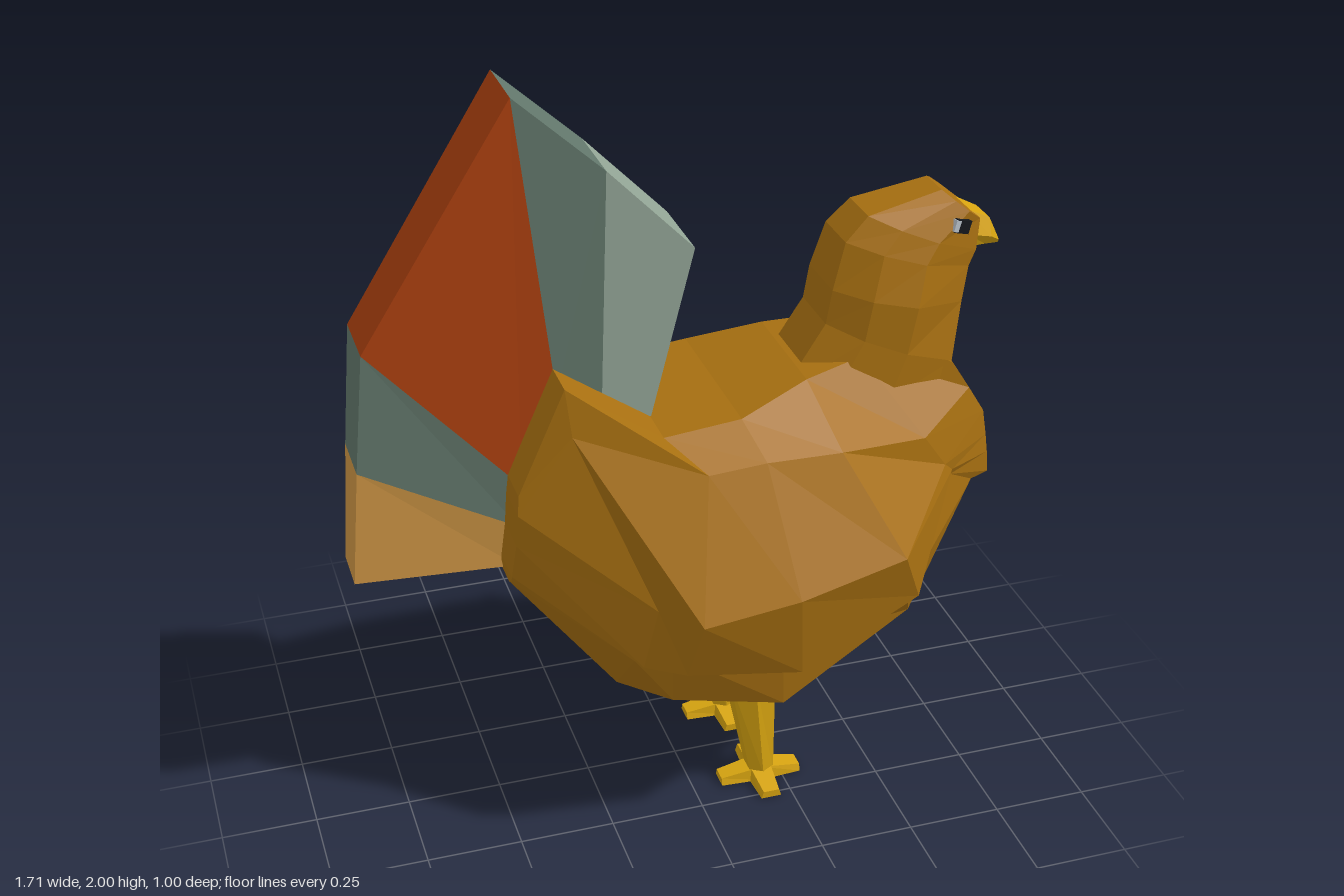
import * as THREE from 'three';

const material = (color) => new THREE.MeshStandardMaterial({ color, flatShading: true, side: THREE.DoubleSide });
const brown = material(0xa87011), red = material(0xac400f), green = material(0x62776b);
const paleGreen = material(0x93a596), tan = material(0xcf9645), yellow = material(0xd6a310);
const dark = material(0x15181c), light = material(0xb8c0c8);

// Skins half cross-sections of [x, y, z >= 0], mirrored across z = 0, and closes both ends.
function loft(name, sections, mat) {
  const rings = sections.map((half) => {
    const mirrored = half.filter((p) => p[2] > 0).reverse().map(([x, y, z]) => [x, y, -z]);
    return [...half, ...mirrored].map((p) => new THREE.Vector3(...p));
  });
  const n = rings[0].length;
  const tris = [];
  const quad = (a, b, c, d) => tris.push([a, b, c], [a, c, d]);
  for (let s = 0; s < rings.length - 1; s++) {
    for (let i = 0; i < n; i++) {
      const j = (i + 1) % n;
      quad(rings[s][i], rings[s][j], rings[s + 1][j], rings[s + 1][i]);
    }
  }
  const first = rings[0], last = rings[rings.length - 1];
  for (let i = 0; i < Math.floor((n - 1) / 2); i++) {
    quad(first[n - 1 - i], first[n - 2 - i], first[i + 1], first[i]);
    quad(last[i], last[i + 1], last[n - 2 - i], last[n - 1 - i]);
  }
  // Turn every face outwards
  const cross = new THREE.Vector3();
  const volume = tris.reduce((v, [a, b, c]) => v + a.dot(cross.crossVectors(b, c)), 0);
  if (volume < 0) tris.forEach((t) => t.reverse());
  const geometry = new THREE.BufferGeometry().setFromPoints(tris.flat());
  geometry.computeVertexNormals();
  const mesh = new THREE.Mesh(geometry, mat);
  mesh.name = name;
  return mesh;
}

// Each section runs: back edge, shoulder, wing ridge, wing lower edge, wing underside, belly, keel
const rearBody = [
  [[-0.46, 1.02, 0.2], [-0.465, 0.97, 0.21], [-0.47, 0.88, 0.2], [-0.48, 0.78, 0.18],
    [-0.48, 0.76, 0.17], [-0.475, 0.73, 0.12], [-0.47, 0.71, 0]],
  [[-0.34, 1.3, 0.21], [-0.33, 1.18, 0.235], [-0.16, 0.74, 0.38], [-0.19, 0.56, 0.35],
    [-0.2, 0.55, 0.3], [-0.22, 0.42, 0.2], [-0.22, 0.38, 0]],
  [[-0.1, 1.14, 0.23], [-0.02, 1.08, 0.34], [-0.08, 0.75, 0.5], [-0.1, 0.57, 0.43],
    [-0.1, 0.55, 0.31], [-0.08, 0.36, 0.24], [-0.08, 0.335, 0]],
];
const frontBody = [
  [[0.1, 1.16, 0.23], [0.13, 1.09, 0.34], [0.17, 0.78, 0.5], [0.2, 0.525, 0.44],
    [0.2, 0.51, 0.3], [0.22, 0.3, 0.26], [0.22, 0.26, 0]],
  [[0.29, 1.21, 0.17], [0.33, 1.08, 0.33], [0.47, 0.81, 0.44], [0.54, 0.645, 0.37],
    [0.54, 0.63, 0.31], [0.58, 0.5, 0.22], [0.58, 0.46, 0]],
  [[0.45, 1.23, 0.13], [0.59, 1.03, 0.24], [0.66, 0.93, 0.22], [0.69, 0.9, 0.2],
    [0.69, 0.88, 0.19], [0.77, 0.83, 0.15], [0.78, 0.77, 0]],
  [[0.7, 1.18, 0.135], [0.75, 1.1, 0.14], [0.8, 1.02, 0.13], [0.81, 0.95, 0.135],
    [0.815, 0.9, 0.14], [0.82, 0.84, 0.14], [0.82, 0.82, 0]],
];

// Neck and head: back x, y, front x, y, half width, front half width
const neck = [
  [0.26, 1.14, 0.7, 1.1, 0.17, 0.13],
  [0.37, 1.31, 0.7, 1.18, 0.165, 0.13],
  [0.385, 1.4, 0.73, 1.33, 0.165, 0.1],
  [0.42, 1.52, 0.75, 1.42, 0.14, 0.085],
  [0.48, 1.58, 0.77, 1.46, 0.125, 0.08],
  [0.68, 1.62, 0.78, 1.54, 0.095, 0.07],
].map(([bx, by, fx, fy, w, fw]) => {
  const at = (t, z) => [bx + (fx - bx) * t, by + (fy - by) * t, z];
  return [at(0, w * 0.5), at(0.25, w * 0.88), at(0.58, w), at(1, fw)];
});

// Tail fan: inner x, y, outer x, y, half thickness at the rim
const tailRays = [
  [-0.48, 0.74, -0.855, 0.76, 0.065],
  [-0.47, 0.88, -0.83, 1.08, 0.08],
  [-0.46, 1.02, -0.8, 1.4, 0.09],
  [-0.34, 1.3, -0.42, 2, 0.098],
  [-0.22, 1.21, -0.2, 1.8, 0.107],
  [-0.1, 1.13, 0.015, 1.58, 0.115],
];
const tailMaterials = [tan, green, red, green, paleGreen];

function tail() {
  const group = new THREE.Group();
  group.name = 'tail';
  // Roots reach a little into the rump
  const root = ([ix, iy, ox, oy, t]) => [ix - (ox - ix) * 0.1, iy - (oy - iy) * 0.1, t];
  const rim = ([, , ox, oy, t]) => [ox, oy, t];
  tailMaterials.forEach((mat, i) => {
    const a = tailRays[i], b = tailRays[i + 1];
    group.add(loft('tailFeather', [[root(a), root(b)], [rim(a), rim(b)]], mat));
  });
  return group;
}

function leg(side) {
  const group = new THREE.Group();
  group.name = side > 0 ? 'leftLeg' : 'rightLeg';
  const level = (x0, x1, y, w) => [[x0, y, w * 0.6], [(x0 + x1) / 2, y, w], [x1, y, w * 0.6]];
  group.add(loft('shank', [level(-0.1, 0.03, 0.36, 0.062), level(-0.03, 0.035, 0.02, 0.04)], yellow));
  // Four toes in a cross
  for (let i = 0; i < 4; i++) {
    const toe = loft('toe', [
      [[0, 0.04, 0.03], [0, 0, 0.035]],
      [[0.112, 0.02, 0.022], [0.112, 0, 0.028]],
    ], yellow);
    toe.rotation.y = i * Math.PI / 2;
    group.add(toe);
  }
  group.position.set(0.19, 0, side * 0.157);
  return group;
}

function eye(side) {
  const group = new THREE.Group();
  group.name = side > 0 ? 'leftEye' : 'rightEye';
  const socket = new THREE.Mesh(new THREE.BoxGeometry(0.045, 0.035, 0.02), dark);
  socket.name = 'pupil';
  const glint = new THREE.Mesh(new THREE.BoxGeometry(0.015, 0.03, 0.022), light);
  glint.name = 'eyeWhite';
  glint.position.x = -0.02;
  group.add(socket, glint);
  group.position.set(0.715, 1.54, side * 0.1);
  group.rotation.set(0, side * 0.25, -0.3);
  return group;
}

export function createModel() {
  const model = new THREE.Group();
  model.name = 'bird';
  model.add(loft('body', [...rearBody, ...frontBody], brown));
  model.add(loft('neckAndHead', neck, brown));
  model.add(loft('beak', [
    [[0.75, 1.56, 0.05], [0.75, 1.5, 0.075], [0.75, 1.46, 0.06]],
    [[0.82, 1.525, 0.04], [0.82, 1.48, 0.06], [0.81, 1.455, 0.045]],
    [[0.85, 1.465, 0.035], [0.85, 1.46, 0.042], [0.85, 1.45, 0.035]],
  ], yellow));
  model.add(tail());
  for (const side of [1, -1]) model.add(leg(side), eye(side));
  return model;
}
